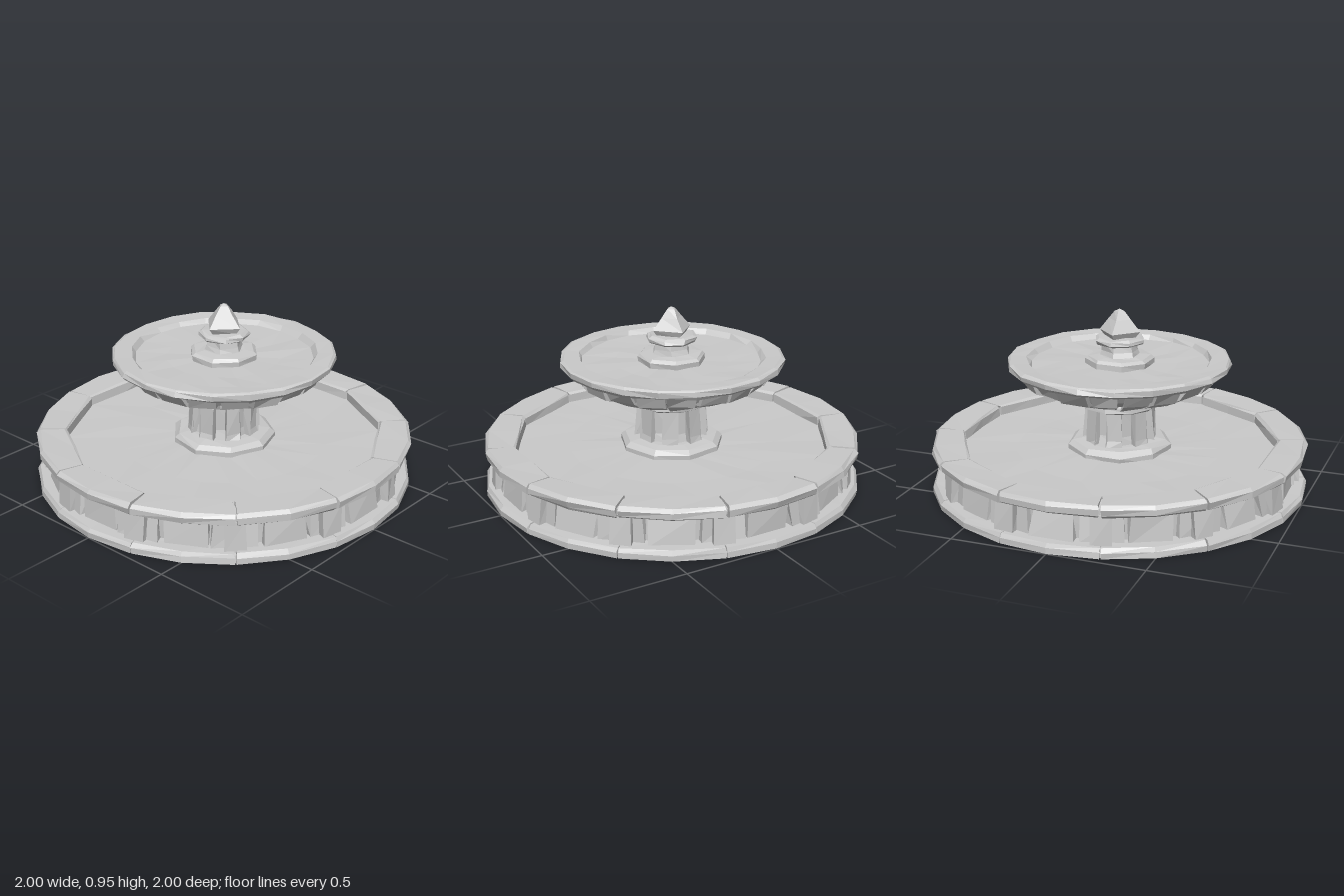
import * as THREE from 'three';

const stone = new THREE.MeshStandardMaterial({ color: 0xcacaca });
stone.name = 'pale stone';

const TAU = Math.PI * 2;

// repeatable -1..1 value from a position, so shared corners move together
function hash(x, y, z) {
  const r = (v) => Math.round(v * 1000);
  const s = Math.sin(r(x) * 12.9898 + r(y) * 78.233 + r(z) * 37.719) * 43758.5453;
  return (s - Math.floor(s)) * 2 - 1;
}

// hand-cut look: nudge the corners, then give each face its own flat normal
function chisel(geometry, amount) {
  const g = geometry.index ? geometry.toNonIndexed() : geometry;
  const p = g.attributes.position;
  for (let i = 0; i < p.count; i++) {
    const x = p.getX(i), y = p.getY(i), z = p.getZ(i);
    if (y < 0.001) continue;
    p.setXYZ(i, x + hash(x, y, z) * amount, y + hash(y, z, x) * amount * 0.6, z + hash(z, x, y) * amount);
  }
  g.computeVertexNormals();
  return g;
}

function add(parent, name, geometry, amount = 0.005) {
  const mesh = new THREE.Mesh(chisel(geometry, amount), stone);
  mesh.name = name;
  parent.add(mesh);
}

// full ring from a [radius, height] outline
function ring(points, sides, turn = 0) {
  return new THREE.LatheGeometry(points.map(([r, y]) => new THREE.Vector2(r, y)), sides, turn);
}

// closed block: a convex outline swept from angle a0 to a1; a third value of 1 keeps that edge straight
function block(outline, a0, a1, steps) {
  const pos = [], n = outline.length;
  const at = (k, i) => {
    const a = a0 + (a1 - a0) * i / steps;
    const [r, y, straight] = outline[k % n];
    const half = (a1 - a0) / 2;
    const rr = straight ? r * Math.cos(half) / Math.cos(a - a0 - half) : r;
    return [rr * Math.sin(a), y, rr * Math.cos(a)];
  };
  for (let i = 0; i < steps; i++) {
    for (let k = 0; k < n; k++) {
      const A = at(k, i), B = at(k, i + 1), C = at(k + 1, i + 1), D = at(k + 1, i);
      pos.push(...A, ...B, ...C, ...A, ...C, ...D);
    }
  }
  for (let k = 1; k < n - 1; k++) {
    pos.push(...at(0, 0), ...at(k, 0), ...at(k + 1, 0));
    pos.push(...at(0, steps), ...at(k + 1, steps), ...at(k, steps));
  }
  const g = new THREE.BufferGeometry();
  g.setAttribute('position', new THREE.Float32BufferAttribute(pos, 3));
  return g;
}

// circle of blocks with a gap (radians) between neighbours
function circle(parent, name, outline, count, gap, steps, start, amount) {
  const group = new THREE.Group();
  group.name = name;
  const step = TAU / count;
  for (let i = 0; i < count; i++) {
    const a = start + i * step;
    add(group, name + 'Stone', block(outline, a + gap / 2, a + step - gap / 2, steps), amount);
  }
  parent.add(group);
}

export function createModel() {
  const fountain = new THREE.Group();
  fountain.name = 'fountain';
  const d15 = TAU / 24;

  // lower basin: solid core with the shallow pool floor on top
  const basin = new THREE.Group();
  basin.name = 'basin';
  fountain.add(basin);
  add(basin, 'basinCore', ring([[0, 0], [0.985, 0], [0.98, 0.04], [0.9, 0.05], [0.9, 0.205],
    [0.97, 0.215], [0.97, 0.245], [0.87, 0.25], [0.86, 0.205], [0.55, 0.2], [0.25, 0.203], [0, 0.205]], 24), 0.004);
  circle(basin, 'plinth', [[0.998, 0], [0.998, 0.03], [0.985, 0.052], [0.88, 0.055], [0.88, 0]],
    12, 0.006, 2, d15, 0.005);
  circle(basin, 'rim', [[0.975, 0.2], [0.993, 0.212], [0.997, 0.245], [0.98, 0.263], [0.85, 0.26, 1],
    [0.838, 0.25, 1], [0.835, 0.19, 1], [0.88, 0.19]], 12, 0.012, 2, d15, 0.005);

  // basin wall: wide recessed stones with narrow projecting piers between
  circle(basin, 'wall', [[0.935, 0.045], [0.92, 0.205], [0.86, 0.205], [0.86, 0.045]],
    24, 0.03, 1, d15 / 2, 0.013);
  circle(basin, 'pier', [[0.965, 0.045], [0.953, 0.205], [0.88, 0.205], [0.88, 0.045]],
    12, TAU / 12 - 0.11, 1, 0, 0.006);

  // pedestal
  const pedestal = new THREE.Group();
  pedestal.name = 'pedestal';
  fountain.add(pedestal);
  add(pedestal, 'pedestalFoot', ring([[0.275, 0.18], [0.278, 0.225], [0.25, 0.25], [0.19, 0.256], [0, 0.256]], 9));
  add(pedestal, 'columnCore', ring([[0.168, 0.24], [0.155, 0.3], [0.157, 0.44]], 8, TAU / 16));
  circle(pedestal, 'columnPier', [[0.195, 0.24], [0.185, 0.285], [0.182, 0.435], [0.12, 0.435], [0.12, 0.24]],
    8, TAU / 8 - 0.42, 1, -0.18, 0.006);
  add(pedestal, 'columnCap', ring([[0, 0.43], [0.185, 0.432], [0.208, 0.445], [0.208, 0.468],
    [0.18, 0.478], [0.178, 0.495], [0.2, 0.51], [0, 0.515]], 10));

  // upper bowl: shallow dished rim, with full curved staves below
  const bowl = new THREE.Group();
  bowl.name = 'bowl';
  fountain.add(bowl);
  add(bowl, 'bowlCore', ring([[0, 0.5], [0.19, 0.503], [0.36, 0.535], [0.475, 0.59], [0.515, 0.65]], 20), 0.004);
  add(bowl, 'bowlRim', ring([[0.5, 0.643], [0.57, 0.645], [0.588, 0.66], [0.587, 0.687], [0.572, 0.696],
    [0.488, 0.693], [0.468, 0.667], [0.3, 0.663], [0, 0.665]], 20), 0.006);
  circle(bowl, 'stave', [[0.2, 0.498], [0.375, 0.523], [0.5, 0.578], [0.542, 0.648], [0.4, 0.648], [0.2, 0.53]],
    20, 0.045, 1, 0.05, 0.01);

  // finial: foot, neck, slab and pointed square top
  const finial = new THREE.Group();
  finial.name = 'finial';
  fountain.add(finial);
  add(finial, 'finialFoot', ring([[0.18, 0.65], [0.18, 0.69], [0.165, 0.705], [0.11, 0.711], [0, 0.711]], 8, TAU / 16));
  add(finial, 'finialNeck', ring([[0.112, 0.7], [0.096, 0.735], [0.09, 0.785]], 6));
  add(finial, 'finialSlab', ring([[0, 0.77], [0.122, 0.772], [0.138, 0.782], [0.134, 0.8],
    [0.115, 0.808], [0, 0.81]], 8), 0.006);
  add(finial, 'finialPoint', ring([[0, 0.8], [0.085, 0.805], [0.112, 0.838], [0.06, 0.9], [0.025, 0.943], [0, 0.953]], 4), 0.003);

  return fountain;
}
